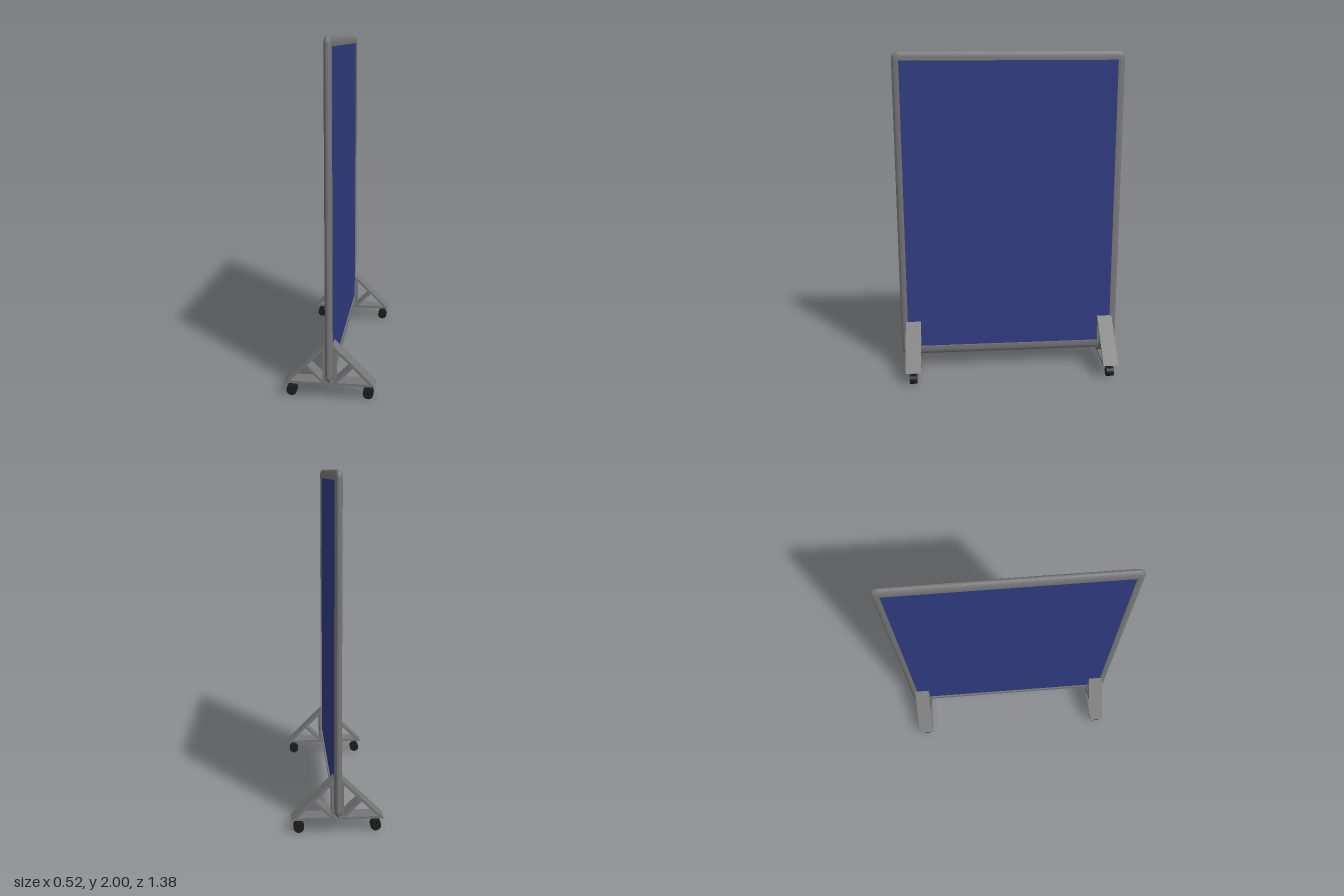
import * as THREE from 'three';
import { toCreasedNormals } from 'three/addons/utils/BufferGeometryUtils.js';

const HALF_Z = 0.69, BOTTOM = 0.1, TOP = 2, HALF_X = 0.021;
const MID_Y = (BOTTOM + TOP) / 2, HALF_Y = (TOP - BOTTOM) / 2;
const RAIL_Z = 0.042, RAIL_Y = 0.055;

const grey = new THREE.MeshStandardMaterial({ color: 0x777777 });
const blue = new THREE.MeshStandardMaterial({ color: 0x303c82 });
const black = new THREE.MeshStandardMaterial({ color: 0x1c1c1c });

function add(parent, name, geometry, material, x = 0, y = 0, z = 0) {
  const mesh = new THREE.Mesh(geometry, material);
  mesh.name = name;
  mesh.position.set(x, y, z);
  parent.add(mesh);
  return mesh;
}

// Rounded rail profile swept around a rectangle with rounded corners
function frameGeometry() {
  const profile = []; // [x, inset fraction]
  for (let i = 0; i <= 12; i++) {
    const a = -Math.PI / 2 + (Math.PI * i) / 12;
    profile.push([HALF_X * Math.sin(a), 0.75 * (1 - Math.cos(a))]);
  }
  profile.push([HALF_X, 1], [-HALF_X, 1]);

  const steps = 8, rings = 4 * (steps + 1), n = profile.length;
  const positions = [], index = [];
  for (let c = 0; c < 4; c++) {
    const sz = c === 0 || c === 3 ? 1 : -1, sy = c < 2 ? 1 : -1;
    for (let s = 0; s <= steps; s++) {
      const a = (c + s / steps) * Math.PI / 2;
      for (const [x, t] of profile) {
        const r = 0.04 * (1 - t) + 0.002;
        positions.push(
          x,
          MID_Y + sy * (HALF_Y - RAIL_Y * t - r) + r * Math.sin(a),
          sz * (HALF_Z - RAIL_Z * t - r) + r * Math.cos(a)
        );
      }
    }
  }
  for (let u = 0; u < rings; u++) {
    for (let v = 0; v < n; v++) {
      const u1 = (u + 1) % rings, v1 = (v + 1) % n;
      const a = u * n + v, b = u * n + v1, c = u1 * n + v1, d = u1 * n + v;
      index.push(a, b, d, b, c, d);
    }
  }
  const g = new THREE.BufferGeometry();
  g.setAttribute('position', new THREE.Float32BufferAttribute(positions, 3));
  g.setIndex(index);
  return toCreasedNormals(g, Math.PI / 5);
}

// Triangular truss foot with a slot for the panel
function footGeometry(width) {
  const points = (list) => list.map(([x, y]) => new THREE.Vector2(x, y));
  const shape = new THREE.Shape(points([
    [-0.26, 0.085], [0.26, 0.085], [0.02, 0.325],
    [0.02, 0.1], [-0.02, 0.1], [-0.02, 0.325]
  ]));
  for (const s of [-1, 1]) {
    shape.holes.push(
      new THREE.Path(points([[s * 0.035, 0.11], [s * 0.035, 0.289], [s * 0.1245, 0.1995]])),
      new THREE.Path(points([[s * 0.045, 0.1], [s * 0.224, 0.1], [s * 0.1345, 0.1895]]))
    );
  }
  return new THREE.ExtrudeGeometry(shape, { depth: width, bevelEnabled: false })
    .translate(0, 0, -width / 2);
}

export function createModel() {
  const model = new THREE.Group();
  model.name = 'partitionScreen';

  add(model, 'frame', frameGeometry(), grey);
  add(model, 'panel', new THREE.BoxGeometry(0.024,
    2 * (HALF_Y - RAIL_Y) + 0.01, 2 * (HALF_Z - RAIL_Z) + 0.01), blue, 0, MID_Y, 0);

  // Feet, each with two casters
  const foot = footGeometry(0.094);
  const wheel = new THREE.CylinderGeometry(0.03, 0.03, 0.046, 24).rotateX(Math.PI / 2);
  const stem = new THREE.CylinderGeometry(0.01, 0.01, 0.06, 12);
  for (const sz of [1, -1]) {
    const base = new THREE.Group();
    base.name = sz > 0 ? 'frontFoot' : 'backFoot';
    base.position.z = sz * 0.613;
    model.add(base);
    add(base, 'footBracket', foot, grey);
    for (const sx of [1, -1]) {
      add(base, 'casterWheel', wheel, black, sx * 0.218, 0.03, 0);
      add(base, 'casterStem', stem, black, sx * 0.225, 0.057, 0);
    }
  }
  return model;
}
